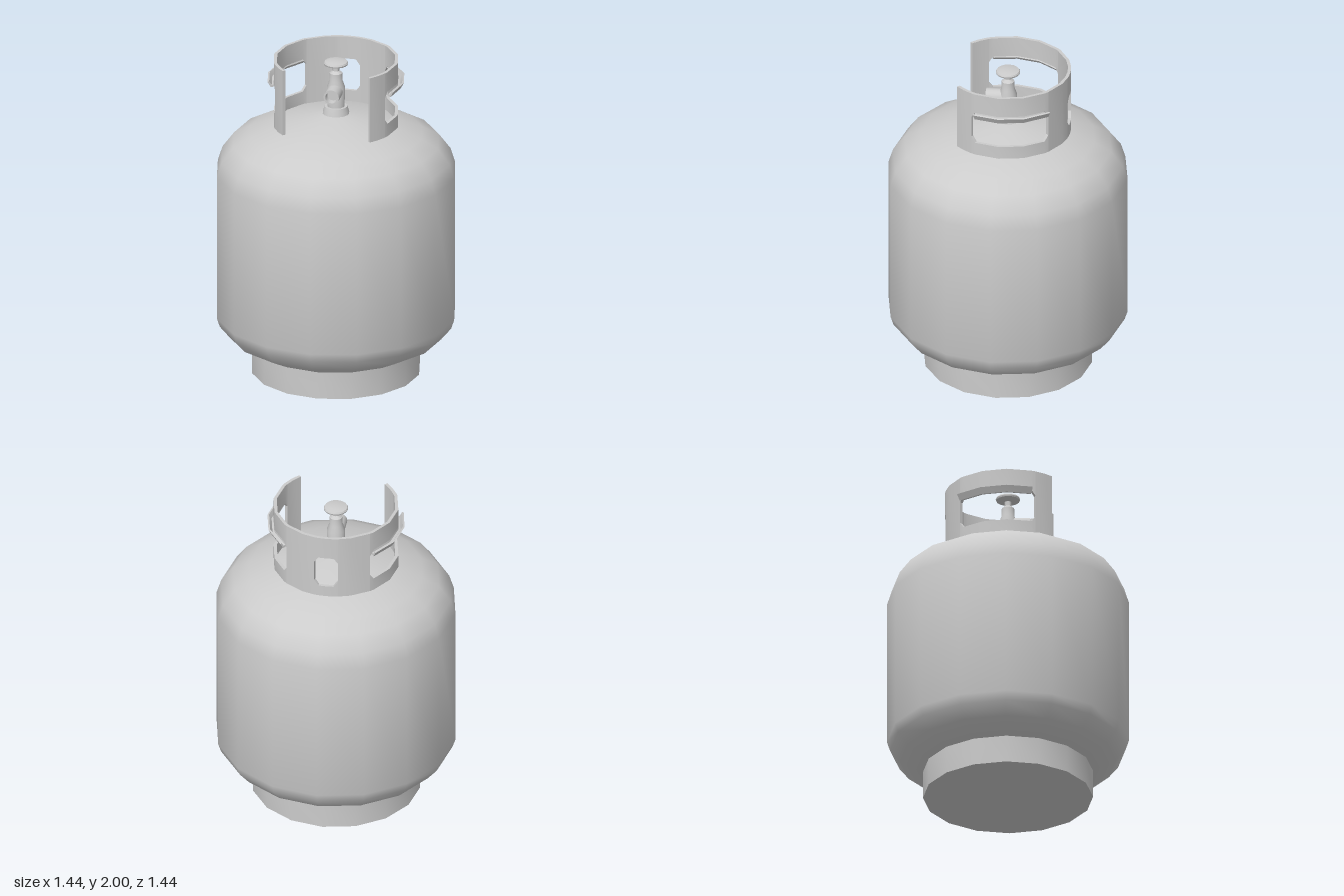
import * as THREE from 'three';
import { toCreasedNormals } from 'three/addons/utils/BufferGeometryUtils.js';

const material = new THREE.MeshStandardMaterial({ color: 0xcccccc });

function part(name, geometry, crease = 0.8) {
  const mesh = new THREE.Mesh(toCreasedNormals(geometry, crease), material);
  mesh.name = name;
  return mesh;
}

const lathe = (profile, sides) =>
  new THREE.LatheGeometry(profile.map(([r, y]) => new THREE.Vector2(r, y)), sides);

// Sweeps a closed (radius, height) section around the y axis; angles in degrees from +z towards +x.
function arcSweep(angles, section) {
  const positions = [], index = [];
  const rings = angles.map(section);
  const n = rings[0].length;
  rings.forEach((ring, k) => {
    const a = THREE.MathUtils.degToRad(angles[k]);
    for (const [r, y] of ring) positions.push(r * Math.sin(a), y, r * Math.cos(a));
  });
  for (let k = 0; k < rings.length - 1; k++) {
    for (let i = 0; i < n; i++) {
      const j = (i + 1) % n;
      const a = k * n + i, b = a + n, c = k * n + j, d = c + n;
      index.push(a, b, c, b, d, c);
    }
  }
  // End caps
  const outline = rings[0].map(([r, y]) => new THREE.Vector2(r, y));
  const last = (rings.length - 1) * n;
  for (const [a, b, c] of THREE.ShapeUtils.triangulateShape(outline, [])) {
    index.push(a, b, c, last + a, last + c, last + b);
  }
  const geometry = new THREE.BufferGeometry();
  geometry.setAttribute('position', new THREE.Float32BufferAttribute(positions, 3));
  geometry.setIndex(index);
  return geometry;
}

const mirrorAngles = (angles) => angles.map((a) => 360 - a).reverse();

// Upright guard around the valve, open at the front, with two side windows and one at the back
function createCollar() {
  const collar = new THREE.Group();
  collar.name = 'collar';
  const inner = 0.356, outer = 0.375, bottom = 1.59, top = 2;
  const band = (lo, hi) => [[inner, lo], [outer, lo], [outer, hi], [inner, hi]];
  const sideWindow = [63, 67, 90, 112.5, 134, 138];
  const backWindow = [169, 173, 180, 187, 191];

  // Window corners are cut at the first and last angle of each opening
  const addWindow = (name, angles, lo, hi) => {
    const cut = (a) => (a === angles[0] || a === angles[angles.length - 1] ? 0.035 : 0);
    collar.add(part(name + 'Sill', arcSweep(angles, (a) => band(bottom, lo + cut(a)))));
    collar.add(part(name + 'Header', arcSweep(angles, (a) => band(hi - cut(a), top))));
  };
  addWindow('backWindow', backWindow, 1.66, 1.86);

  // Rolled grip on the upper edge of each side window
  const grip = () => [
    [0.358, 1.865], [0.37, 1.848], [0.392, 1.842], [0.412, 1.878],
    [0.402, 1.882], [0.387, 1.856], [0.376, 1.86], [0.37, 1.885],
  ];

  for (const side of ['left', 'right']) {
    const turn = side === 'left' ? (a) => a : mirrorAngles;
    addWindow(side + 'Window', turn(sideWindow), 1.67, 1.875);
    collar.add(part(side + 'FrontPost', arcSweep(turn([45, 54, 63]), () => band(bottom, top))));
    collar.add(part(side + 'BackPost', arcSweep(turn([138, 157.5, 169]), () => band(bottom, top))));
    collar.add(part(side + 'Grip', arcSweep(turn([68, 90, 112.5, 136]), grip)));
  }
  return collar;
}

// Valve standing on the neck: body, outlet and handwheel
function createValve() {
  const valve = new THREE.Group();
  valve.name = 'valve';
  valve.add(part('neck', lathe([[0.085, 1.63], [0.078, 1.665], [0.068, 1.7], [0, 1.7]], 16)));
  valve.add(part('valveBody', lathe([
    [0.052, 1.69], [0.054, 1.82], [0.04, 1.86], [0.038, 1.91], [0.02, 1.925], [0.02, 1.965],
  ], 16)));
  valve.add(part('handwheel', lathe([
    [0, 1.952], [0.05, 1.957], [0.07, 1.964], [0.073, 1.973], [0.068, 1.982], [0.04, 1.988], [0, 1.989],
  ], 16)));
  const outlet = part('outlet', lathe([
    [0.047, 0], [0.047, 0.13], [0.036, 0.13], [0.034, 0.085], [0, 0.085],
  ], 16));
  outlet.rotation.x = Math.PI / 2;
  outlet.position.y = 1.8;
  valve.add(outlet);
  return valve;
}

export function createModel() {
  const model = new THREE.Group();
  model.name = 'gasCylinder';

  // Tank with rounded shoulder and base
  model.add(part('tank', lathe([
    [0.5, 0.19], [0.64, 0.262], [0.7, 0.335], [0.718, 0.39], [0.718, 1.29],
    [0.69, 1.38], [0.62, 1.475], [0.52, 1.53], [0.38, 1.585], [0.25, 1.615], [0.08, 1.655], [0, 1.66],
  ], 16), 1));

  // Foot ring with a shallow domed underside
  model.add(part('foot', lathe([[0, 0], [0.28, 0.012], [0.505, 0.024], [0.505, 0.2]], 16)));

  model.add(createCollar(), createValve());
  return model;
}
